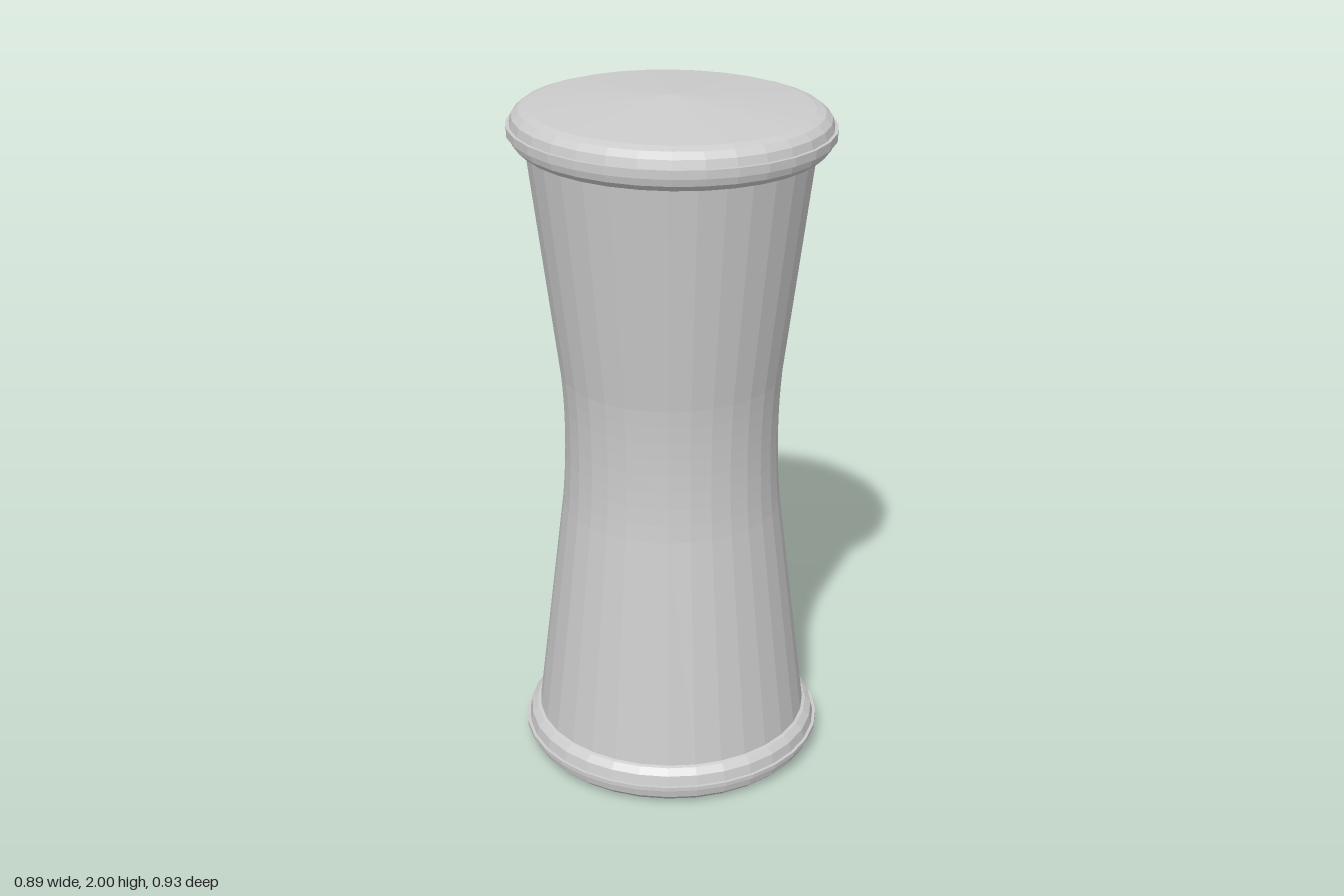
import * as THREE from 'three';

const SIDES = 32;

// Turns [radius, height] points, listed bottom to top, into a faceted solid
function turned(name, points, material) {
  const profile = points.map(([r, y]) => new THREE.Vector2(r, y));
  const mesh = new THREE.Mesh(new THREE.LatheGeometry(profile, SIDES), material);
  mesh.name = name;
  return mesh;
}

// Rounded hoop with a narrow lip around its middle
function hoopProfile(lip) {
  return [
    [0, 0], [0.385, 0], [0.41, 0.008], [0.428, 0.025], [0.434, 0.06 - lip],
    [0.443, 0.06 - lip], [0.443, 0.06 + lip], [0.434, 0.06 + lip],
    [0.428, 0.095], [0.41, 0.112], [0.385, 0.12],
  ];
}

export function createModel() {
  const group = new THREE.Group();
  const grey = new THREE.MeshStandardMaterial({ color: 0xcccccc, flatShading: true });
  grey.name = 'plain grey';

  // Waisted body: straight flares joined by a curved middle
  const body = [[0.403, 0.1], [0.318, 0.8]];
  for (let i = 1; i < 8; i++) {
    const t = i / 4 - 1;
    body.push([0.309 + 0.009 * t * t, 1 + 0.2 * t]);
  }
  body.push([0.318, 1.2], [0.403, 1.87]);
  group.add(turned('waistedBody', body, grey));

  // Bottom hoop with a flat underside
  const bottom = turned('bottomHoop', [...hoopProfile(0.006), [0, 0.12]], grey);
  bottom.position.y = 0.005;
  group.add(bottom);

  // Top hoop, slightly deeper than wide, closed by a shallow conical head
  const top = turned('topHoop', [...hoopProfile(0.012), [0, 0.15]], grey);
  top.position.y = 1.85;
  top.scale.z = 1.05;
  group.add(top);

  return group;
}
